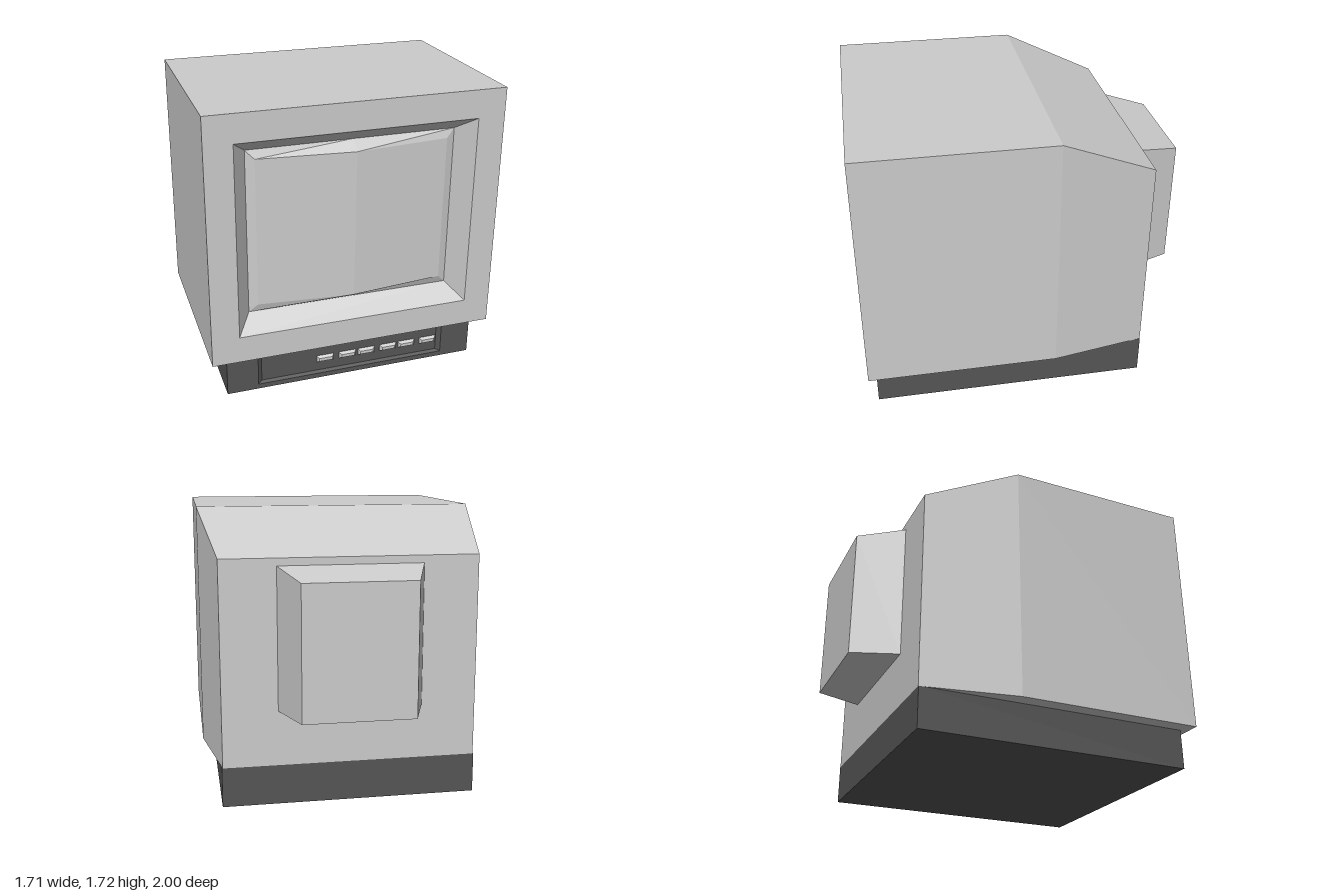
import * as THREE from 'three';

const grey = new THREE.MeshStandardMaterial({ color: 0xcccccc, flatShading: true });
const dark = new THREE.MeshStandardMaterial({ color: 0x555555, flatShading: true });

// Rectangular cross-section, counter-clockwise seen from the front.
// With zMid the horizontal edges get a middle point at that depth.
function rect(x0, x1, y0, y1, z, zMid) {
  const ring = [[x0, y0, z], [x1, y0, z], [x1, y1, z], [x0, y1, z]];
  if (zMid !== undefined) {
    const xm = (x0 + x1) / 2;
    ring.splice(3, 0, [xm, y1, zMid]);
    ring.splice(1, 0, [xm, y0, zMid]);
  }
  return ring;
}

// Skin a series of rings running from the back to the front (and into recesses).
function loft(name, material, rings, { backCap = true, frontCap = true } = {}) {
  const pos = [];
  const quad = (a, b, c, d) => [a, b, c, a, c, d].forEach((p) => pos.push(...p));
  const n = rings[0].length;
  for (let r = 0; r < rings.length - 1; r++) {
    const a = rings[r], b = rings[r + 1];
    for (let i = 0; i < n; i++) {
      const j = (i + 1) % n;
      quad(a[i], a[j], b[j], b[i]);
    }
  }
  const first = rings[0], last = rings[rings.length - 1];
  for (let i = 0; i < n / 2 - 1; i++) {
    const k = n - 1 - i;
    if (frontCap) quad(last[i], last[i + 1], last[k - 1], last[k]);
    if (backCap) quad(first[k], first[k - 1], first[i + 1], first[i]);
  }
  const geo = new THREE.BufferGeometry();
  geo.setAttribute('position', new THREE.Float32BufferAttribute(pos, 3));
  geo.computeVertexNormals();
  const mesh = new THREE.Mesh(geo, material);
  mesh.name = name;
  return mesh;
}

export function createModel() {
  const model = new THREE.Group();
  model.name = 'monitor';

  // Housing tapering to the back, with a sloped bezel recess in front
  model.add(loft('housing', grey, [
    rect(-0.76, 0.76, 0.24, 1.465, -0.72),
    rect(-0.855, 0.855, 0.24, 1.72, -0.15),
    rect(-0.855, 0.855, 0.24, 1.72, 1),
    rect(-0.695, 0.695, 0.4, 1.555, 1),
    rect(-0.61, 0.61, 0.485, 1.47, 0.88),
  ], { frontCap: false }));

  // Screen bulging forward along its vertical centre line
  model.add(loft('screen', grey, [
    rect(-0.61, 0.61, 0.485, 1.47, 0.88, 0.88),
    rect(-0.56, 0.56, 0.535, 1.42, 0.9, 0.955),
  ], { backCap: false }));

  // Tube cover on the back
  model.add(loft('tubeCover', grey, [
    rect(-0.33, 0.33, 0.57, 1.36, -1),
    rect(-0.43, 0.43, 0.57, 1.42, -0.72),
  ], { frontCap: false }));

  // Dark base with a shallow control panel recess
  model.add(loft('base', dark, [
    rect(-0.765, 0.765, 0, 0.24, -0.72),
    rect(-0.765, 0.765, 0, 0.24, 0.95),
    rect(-0.58, 0.58, 0.03, 0.235, 0.95),
    rect(-0.555, 0.555, 0.04, 0.222, 0.93),
  ]));

  // Row of bevelled buttons
  const buttons = new THREE.Group();
  buttons.name = 'buttons';
  for (const x of [-0.165, -0.025, 0.095, 0.235, 0.355, 0.495]) {
    buttons.add(loft('button', grey, [
      rect(x - 0.053, x + 0.053, 0.1, 0.14, 0.93),
      rect(x - 0.053, x + 0.053, 0.1, 0.14, 0.935),
      rect(x - 0.04, x + 0.04, 0.11, 0.13, 0.949),
    ], { backCap: false }));
  }
  model.add(buttons);
  return model;
}
